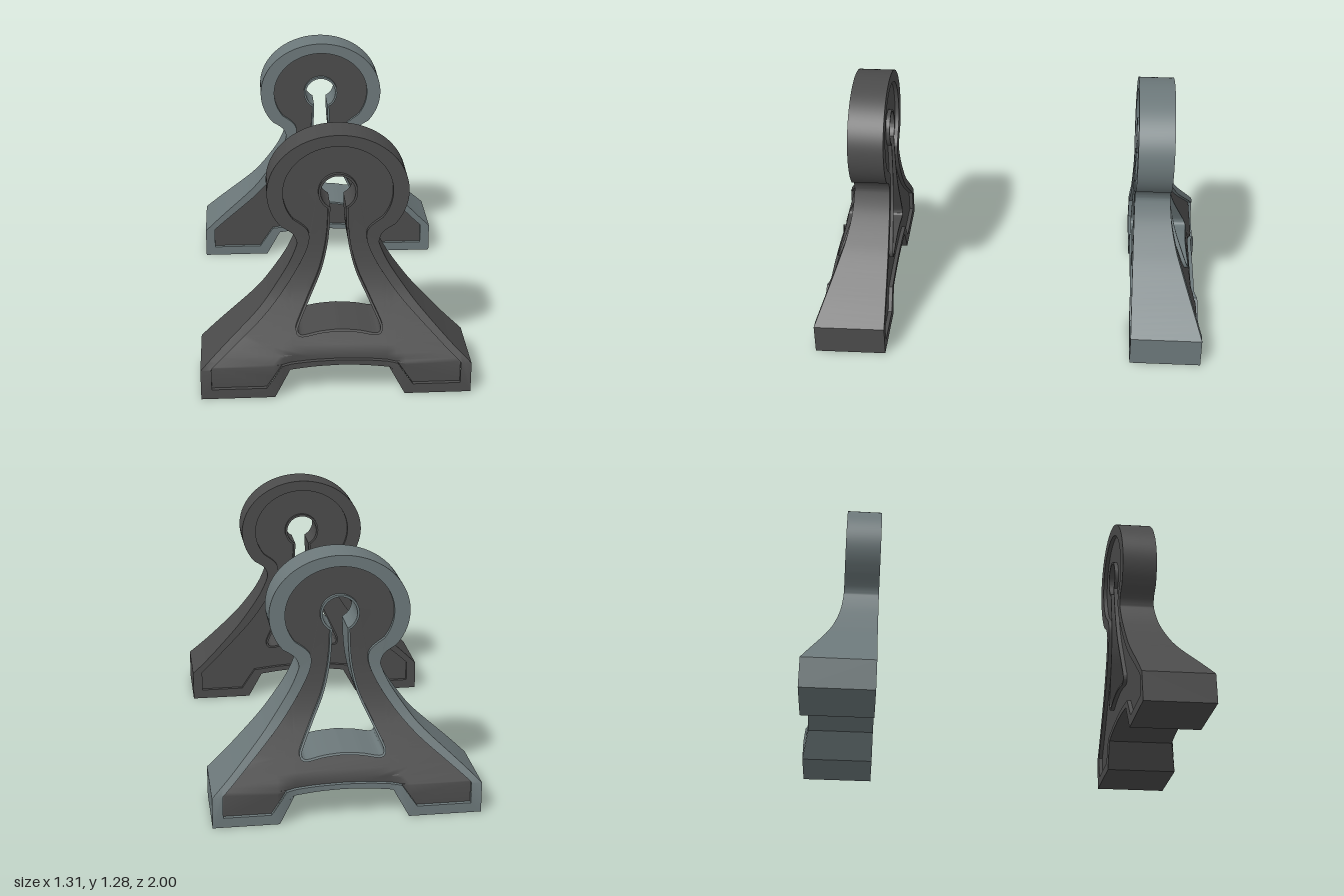
import * as THREE from 'three';
import { toCreasedNormals } from 'three/addons/utils/BufferGeometryUtils.js';

const INNER = 0.635, RECESS = 0.02, SHIFT = 0.017;
const { smoothstep } = THREE.MathUtils;

// Thickness profile: feet are deep, the neck and head are thin
const flare = new THREE.SplineCurve([[0.155, 1], [0.31, 0.932], [0.42, 0.886], [0.5, 0.856],
  [0.6, 0.831], [0.7, 0.819], [0.76, 0.816]].map(p => new THREE.Vector2(...p))).getPoints(60);
function outerZ(x, y) {
  let z = 0.816;
  if (y <= 0.155) z = 1;
  else {
    const i = flare.findIndex(p => p.x >= y);
    if (i > 0) {
      const a = flare[i - 1], b = flare[i];
      z = a.y + (b.y - a.y) * (y - a.x) / (b.x - a.x);
    }
  }
  return Math.min(z, 0.975 + 0.025 * smoothstep(Math.abs(x - SHIFT), 0.23, 0.32));
}

const spline = (pts, n) => new THREE.SplineCurve(pts.map(p => new THREE.Vector2(...p))).getPoints(n);
const line = pts => pts.map(p => new THREE.Vector2(...p));
function arc(rx, ry, from, n) {
  const out = [];
  for (let i = 0; i <= n; i++) {
    const t = from + (Math.PI / 2 - from) * i / n;
    out.push(new THREE.Vector2(rx * Math.cos(t), 0.99 + ry * Math.sin(t)));
  }
  return out;
}

// Mirrors a right half (bottom centre to top centre) into a closed anticlockwise loop
function loop(...parts) {
  const half = parts.flat().filter((p, i, a) => !i || p.distanceTo(a[i - 1]) > 0.002);
  const left = half.slice(1, -1).reverse().map(p => new THREE.Vector2(-p.x, p.y));
  return [...half, ...left].map(p =>
    new THREE.Vector2(p.x + SHIFT * (1 - smoothstep(Math.abs(p.x), 0.34, 0.6)), p.y));
}

// Pushes a loop outward by d
function grow(pts, d) {
  const n = pts.length;
  return pts.map((p, i) => {
    const t = pts[(i + 1) % n].clone().sub(pts[(i + n - 1) % n]).normalize();
    return new THREE.Vector2(p.x + t.y * d, p.y - t.x * d);
  });
}

// Outline of the whole stand
const outline = loop(
  spline([[0, 0.154], [0.12, 0.149], [0.24, 0.135]], 10),
  line([[0.315, 0], [0.655, 0], [0.655, 0.155]]),
  spline([[0.655, 0.155], [0.52, 0.287], [0.392, 0.417], [0.322, 0.505], [0.245, 0.62], [0.203, 0.71],
    [0.199, 0.745], [0.22, 0.785], [0.272, 0.82]], 50),
  arc(0.338, 0.287, -0.63, 40));

// Border of the sunken panel
const border = loop(
  spline([[0, 0.18], [0.14, 0.175], [0.281, 0.16]], 10),
  line([[0.355, 0.05], [0.603, 0.05], [0.603, 0.16]]),
  spline([[0.603, 0.16], [0.48, 0.275], [0.368, 0.383], [0.275, 0.49], [0.195, 0.61], [0.147, 0.71],
    [0.138, 0.775], [0.16, 0.815], [0.215, 0.857]], 50),
  arc(0.262, 0.232, -0.61, 40));

// Keyhole opening and its thin lip
const hole = loop(
  spline([[0, 0.324], [0.09, 0.317], [0.165, 0.303], [0.19, 0.305], [0.199, 0.32], [0.192, 0.35],
    [0.14, 0.462], [0.085, 0.585], [0.055, 0.7], [0.042, 0.8], [0.037, 0.915]], 70),
  arc(0.083, 0.083, -1.11, 26));
const lip = grow(hole, 0.011);

// Cuts convex polygons along x or y so that faces can follow the flare
function slice(polys, axis, v) {
  const out = [];
  for (const poly of polys) for (const side of [1, -1]) {
    const part = [];
    poly.forEach((a, i) => {
      const b = poly[(i + 1) % poly.length];
      const da = (a[axis] - v) * side, db = (b[axis] - v) * side;
      if (da >= 0) part.push(a);
      if (da * db < 0) part.push(a.clone().lerp(b, da / (da - db)));
    });
    if (part.length > 2 && part.some(p => (p[axis] - v) * side > 1e-7)) out.push(part);
  }
  return out;
}

// Flat region between two loops as small polygons
function region(outer, inner) {
  const pts = [...outer, ...inner];
  let polys = THREE.ShapeUtils.triangulateShape(outer, [inner]).map(t => {
    const [a, b, c] = t.map(i => pts[i]);
    return (b.x - a.x) * (c.y - a.y) - (b.y - a.y) * (c.x - a.x) < 0 ? [a, c, b] : [a, b, c];
  });
  for (let y = 0.155; y < 0.78; y += 0.045) polys = slice(polys, 'y', y);
  for (const x of [0.23, 0.275, 0.32]) {
    polys = slice(polys, 'x', SHIFT + x);
    polys = slice(polys, 'x', SHIFT - x);
  }
  return polys;
}

// Collects triangles; sign -1 builds the stand facing backward
function surface(sign) {
  const data = [];
  const tri = (a, b, c, flip) => {
    for (const p of (flip !== (sign < 0)) ? [a, c, b] : [a, b, c]) data.push(p[0], p[1], p[2] * sign);
  };
  const at = (p, z) => [p.x, p.y, z(p.x, p.y)];
  return {
    face(polys, z, flip) {
      for (const p of polys) for (let i = 1; i < p.length - 1; i++)
        tri(at(p[0], z), at(p[i], z), at(p[i + 1], z), flip);
    },
    wall(pts, lo, hi, flip) {
      pts.forEach((p, i) => {
        const q = pts[(i + 1) % pts.length];
        tri(at(p, lo), at(q, lo), at(q, hi), flip);
        tri(at(p, lo), at(q, hi), at(p, hi), flip);
      });
    },
    mesh(name, material) {
      const g = new THREE.BufferGeometry();
      g.setAttribute('position', new THREE.Float32BufferAttribute(data, 3));
      const m = new THREE.Mesh(toCreasedNormals(g, 0.5), material);
      m.name = name;
      return m;
    }
  };
}

export function createModel() {
  const charcoal = new THREE.MeshStandardMaterial({ color: 0x4b4b4b });
  charcoal.name = 'charcoal';
  const slate = new THREE.MeshStandardMaterial({ color: 0x6c787a });
  slate.name = 'slate grey';

  const rim = region(outline, border), holeRim = region(lip, hole), panel = region(border, lip);
  const back = () => INNER, backPanel = () => INNER + RECESS;
  const frontPanel = (x, y) => outerZ(x, y) - RECESS;

  function stand(name, sign, frameMaterial) {
    const group = new THREE.Group();
    group.name = name;

    // Frame: side walls, raised rims and recess walls
    const frame = surface(sign);
    frame.wall(outline, back, outerZ, false);
    frame.wall(hole, back, outerZ, true);
    for (const polys of [rim, holeRim]) {
      frame.face(polys, outerZ, false);
      frame.face(polys, back, true);
    }
    for (const [lo, hi] of [[frontPanel, outerZ], [back, backPanel]]) {
      frame.wall(border, lo, hi, true);
      frame.wall(lip, lo, hi, false);
    }
    group.add(frame.mesh('frame', frameMaterial));

    // Sunken panels on both faces
    const outer = surface(sign), inner = surface(sign);
    outer.face(panel, frontPanel, false);
    inner.face(panel, backPanel, true);
    group.add(outer.mesh('outerPanel', charcoal), inner.mesh('innerPanel', charcoal));
    return group;
  }

  const model = new THREE.Group();
  model.name = 'standPair';
  model.add(stand('frontStand', 1, charcoal), stand('backStand', -1, slate));
  return model;
}
